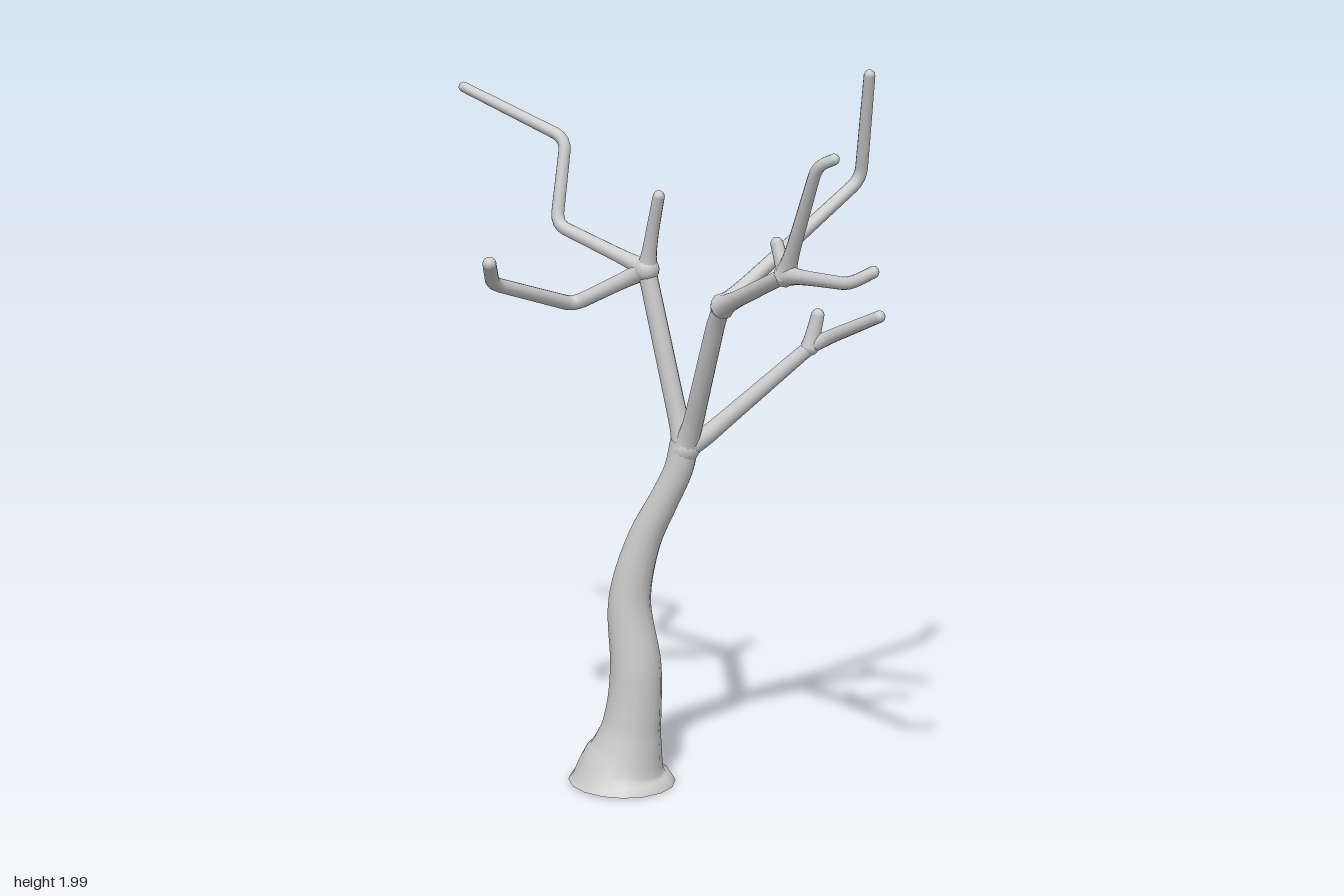
import * as THREE from 'three';
import { mergeVertices } from 'three/addons/utils/BufferGeometryUtils.js';

const material = new THREE.MeshStandardMaterial({ color: 0xcccccc });
const barkOpen = new THREE.MeshStandardMaterial({ color: 0xcccccc, side: THREE.DoubleSide });
const V = (p) => new THREE.Vector3(...p);

// Tube whose radius follows radiusAt(centre, u, distance from the start)
function sweep(curve, segments, sides, radiusAt) {
  const geo = new THREE.TubeGeometry(curve, segments, 1, sides);
  const pos = geo.attributes.position;
  const length = curve.getLength();
  const v = new THREE.Vector3();
  for (let i = 0; i <= segments; i++) {
    const u = i / segments;
    const c = curve.getPointAt(u);
    const r = radiusAt(c, u, u * length);
    for (let j = 0; j <= sides; j++) {
      const k = i * (sides + 1) + j;
      v.fromBufferAttribute(pos, k).sub(c).multiplyScalar(r).add(c);
      pos.setXYZ(k, v.x, v.y, v.z);
    }
  }
  geo.deleteAttribute('uv');
  geo.deleteAttribute('normal');
  const welded = mergeVertices(geo, 1e-5);
  welded.computeVertexNormals();
  return welded;
}

// Straight runs joined by small rounded elbows
function elbowPath(points, bend = 0.035) {
  const pts = points.map(V);
  const path = new THREE.CurvePath();
  let from = pts[0];
  for (let i = 1; i < pts.length - 1; i++) {
    const p = pts[i];
    const toward = (q) => p.clone().add(q.clone().sub(p).setLength(Math.min(bend, p.distanceTo(q) * 0.45)));
    const a = toward(pts[i - 1]), b = toward(pts[i + 1]);
    path.add(new THREE.LineCurve3(from, a));
    path.add(new THREE.QuadraticBezierCurve3(a, p, b));
    from = b;
  }
  path.add(new THREE.LineCurve3(from, pts[pts.length - 1]));
  return path;
}

// Branch flaring at its root, tapering to a rounded tip
function addBranch(group, name, r0, r1, points, flare = 0.012) {
  const branch = new THREE.Group();
  branch.name = name;
  const path = elbowPath(points);
  const segments = Math.max(10, Math.ceil(path.getLength() / 0.014));
  const tube = new THREE.Mesh(sweep(path, segments, 12, (c, u, d) =>
    THREE.MathUtils.lerp(r0, r1, u) + flare * Math.exp(-d / 0.03)), material);
  const tip = new THREE.Mesh(new THREE.SphereGeometry(r1, 12, 8), material);
  tip.position.copy(V(points[points.length - 1]));
  branch.add(tube, tip);
  group.add(branch);
}

export function createModel() {
  const tree = new THREE.Group();
  tree.name = 'bareTree';

  // Trunk: flared, open at the foot, leaning in an S; rows are x, y, radius
  const rows = [
    [-0.182, 0.012, 0.148], [-0.181, 0.05, 0.123], [-0.168, 0.1, 0.1], [-0.154, 0.17, 0.081],
    [-0.144, 0.25, 0.074], [-0.141, 0.35, 0.07], [-0.158, 0.53, 0.058], [-0.118, 0.7, 0.047],
    [-0.06, 0.82, 0.041], [-0.018, 0.91, 0.039], [0, 0.99, 0.039],
  ];
  const spine = new THREE.CatmullRomCurve3(rows.map(([x, y]) => new THREE.Vector3(x, y, -0.222)));
  const trunkRadius = (c) => {
    let i = 0;
    while (i < rows.length - 2 && c.y > rows[i + 1][1]) i++;
    const t = (c.y - rows[i][1]) / (rows[i + 1][1] - rows[i][1]);
    return THREE.MathUtils.lerp(rows[i][2], rows[i + 1][2], THREE.MathUtils.clamp(t, 0, 1));
  };
  const trunk = new THREE.Mesh(sweep(spine, 48, 16, trunkRadius), barkOpen);
  trunk.name = 'trunk';
  tree.add(trunk);

  // Forks
  const crown = [0, 0.97, -0.222];
  const forkRight = [-0.112, 1.445, -0.232];
  const forkMiddle = [0.165, 1.4, -0.045];
  const forkFront = [0.41, 1.54, 0.188];
  const forkLeft = [0.315, 1.25, -0.322];
  const forks = [[crown, 0.041], [forkRight, 0.034], [forkMiddle, 0.031], [forkFront, 0.026], [forkLeft, 0.024]];
  for (const [p, r] of forks) {
    const knot = new THREE.Mesh(new THREE.SphereGeometry(r, 16, 10), material);
    knot.position.copy(V(p));
    knot.name = 'forkKnot';
    tree.add(knot);
  }

  // Right limb and its three branches
  addBranch(tree, 'rightLimb', 0.027, 0.025, [crown, [-0.025, 1.07, -0.225], forkRight]);
  addBranch(tree, 'rightUprightTwig', 0.019, 0.016, [forkRight, [-0.088, 1.55, -0.21], [-0.06, 1.65, -0.183]]);
  addBranch(tree, 'rightBackBranch', 0.02, 0.014,
    [forkRight, [-0.4, 1.535, -0.31], [-0.392, 1.76, -0.362], [-0.69, 1.885, -0.364]]);
  addBranch(tree, 'rightFrontBranch', 0.021, 0.018,
    [forkRight, [-0.322, 1.335, -0.235], [-0.436, 1.435, 0.045], [-0.385, 1.515, 0.182]]);

  // Middle limb, tall back branch and forward branch with its twigs
  addBranch(tree, 'middleLimb', 0.028, 0.024, [crown, [0.03, 1.04, -0.2], [0.14, 1.355, -0.072], forkMiddle]);
  addBranch(tree, 'tallBackBranch', 0.02, 0.015, [forkMiddle, [0.44, 1.7, -0.342], [0.486, 1.982, -0.252]]);
  addBranch(tree, 'forwardBranch', 0.022, 0.02, [forkMiddle, forkFront]);
  addBranch(tree, 'forwardLongTwig', 0.019, 0.015, [forkFront, [0.625, 1.563, 0.36], [0.682, 1.595, 0.354]]);
  addBranch(tree, 'forwardTallTwig', 0.019, 0.014, [forkFront, [0.528, 1.835, 0.32], [0.572, 1.855, 0.326]]);
  addBranch(tree, 'forwardStub', 0.018, 0.016, [forkFront, [0.382, 1.615, 0.176]], 0.006);

  // Left limb with its stub
  addBranch(tree, 'leftLimb', 0.025, 0.016,
    [crown, [0.05, 1.0, -0.235], forkLeft, [0.365, 1.278, -0.322], [0.528, 1.362, -0.236]]);
  addBranch(tree, 'leftStub', 0.02, 0.018, [forkLeft, [0.334, 1.335, -0.324]], 0.006);

  return tree;
}
